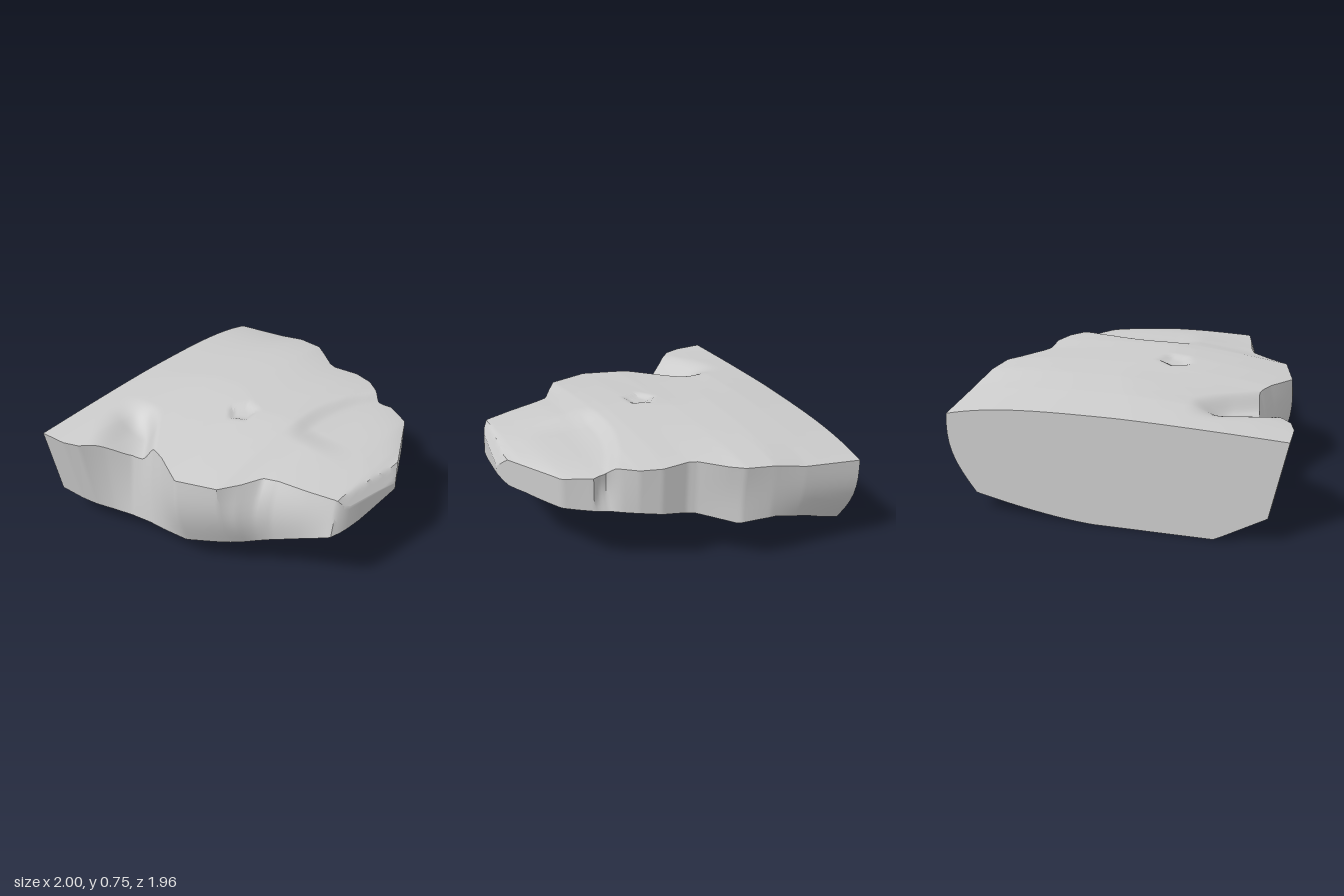
import * as THREE from 'three';
import { toCreasedNormals, mergeVertices } from 'three/addons/utils/BufferGeometryUtils.js';

// Side profiles from back to front: z, rim x, rim y, foot x, bulge
const LEFT = [
  [-0.98, -1.0, 0.64, -0.9, 0],
  [-0.8, -1.0, 0.64, -0.9, 0],
  [-0.7, -0.97, 0.64, -0.88, 0],
  [-0.58, -0.86, 0.64, -0.84, 0],
  [-0.45, -0.76, 0.65, -0.81, 0],
  [-0.3, -0.73, 0.66, -0.8, 0.01],
  [-0.18, -0.78, 0.66, -0.81, 0.02],
  [0.02, -0.89, 0.64, -0.81, 0.04],
  [0.28, -0.82, 0.65, -0.71, 0.04],
  [0.36, -0.7, 0.65, -0.67, 0.07],
  [0.43, -0.58, 0.66, -0.64, 0.07],
  [0.52, -0.55, 0.66, -0.61, 0.04],
  [0.7, -0.52, 0.65, -0.57, 0.02],
  [0.88, -0.48, 0.64, -0.54, 0],
  [0.92, -0.44, 0.62, -0.46, 0],
  [0.98, -0.02, 0.56, -0.02, 0],
];
const RIGHT = [
  [-0.98, 1.0, 0.61, 0.84, 0.06],
  [-0.6, 0.98, 0.65, 0.92, 0.02],
  [-0.4, 0.955, 0.69, 0.93, 0],
  [-0.22, 0.92, 0.7, 0.9, -0.01],
  [-0.14, 0.86, 0.7, 0.84, -0.01],
  [0, 0.74, 0.71, 0.73, 0],
  [0.05, 0.72, 0.71, 0.71, 0],
  [0.22, 0.73, 0.71, 0.72, 0],
  [0.35, 0.69, 0.71, 0.68, 0],
  [0.44, 0.62, 0.71, 0.63, 0],
  [0.5, 0.56, 0.7, 0.59, -0.02],
  [0.55, 0.56, 0.69, 0.58, -0.02],
  [0.59, 0.57, 0.68, 0.57, 0],
  [0.75, 0.48, 0.65, 0.47, 0],
  [0.94, 0.08, 0.63, 0.07, 0],
  [0.98, 0.0, 0.56, 0.0, 0],
];
// Middle of the slab: z, crown y, keel y, start x and rate of right rise, left rise
const MIDDLE = [
  [-0.98, 0.682, 0.0, 0.1, 0.19, 0.57], [-0.7, 0.718, 0.018, 0, 0.26, 0.48],
  [-0.45, 0.738, 0.055, -0.1, 0.255, 0.38], [-0.2, 0.745, 0.1, -0.2, 0.19, 0.22],
  [0, 0.745, 0.13, -0.3, 0.215, 0.12], [0.2, 0.745, 0.17, -0.4, 0.19, 0.1],
  [0.35, 0.735, 0.21, -0.45, 0.175, 0.05], [0.58, 0.702, 0.295, -0.5, 0.13, 0],
  [0.75, 0.672, 0.36, -0.5, 0.095, 0], [0.88, 0.65, 0.415, -0.5, 0.06, 0],
  [0.94, 0.63, 0.44, -0.4, 0.03, 0], [0.98, 0.56, 0.5, 0, 0, 0],
];

const { lerp, smoothstep, clamp } = THREE.MathUtils;

function sample(table, z) {
  let i = 0;
  while (i < table.length - 2 && z > table[i + 1][0]) i++;
  const a = table[i], b = table[i + 1];
  const t = clamp((z - a[0]) / (b[0] - a[0]), 0, 1);
  return a.map((v, k) => lerp(v, b[k], t));
}

// Chips and scoops worn into the upper surface
function carve(x, z, y) {
  // Scoop at the back left: steep on its front edge, rising gently to the back
  const e = -0.6 * (x + 0.4) - 0.8 * (z + 0.52);
  y -= 0.1 * smoothstep(e, 0, 0.1) * (1 - smoothstep(e, 0.1, 0.42))
    * (1 - smoothstep(x, -0.6, -0.38)) * (1 - smoothstep(-z, 0.6, 0.88));
  // Lowered step at the front right
  const edge = 0.27 + 0.6 * Math.max(0, x - 0.05) ** 2;
  y -= 0.04 * smoothstep(z, edge, edge + 0.1) * smoothstep(x, -0.22, 0)
    * (1 - smoothstep(z, 0.42, 0.8));
  // Small five-sided chip near the middle
  const dx = x + 0.155, dz = z + 0.06;
  let d = -1;
  for (let k = 0; k < 5; k++) {
    const a = (k + 0.5) * Math.PI * 0.4;
    d = Math.max(d, dx * Math.sin(a) - dz * Math.cos(a));
  }
  y -= 0.025 * (1 - smoothstep(d, 0.04, 0.1));
  // Slanted front bevel
  return Math.min(y, 0.64 - 1.6 * (z - 0.88 - 0.107 * (x + 0.48)));
}

const TOP = 80, WALL = 8, BASE = 40;

// One closed cross-section, counter-clockwise seen from the front
function section(z) {
  const [, lx, ly, lfx, lb] = sample(LEFT, z);
  const [, rx, ry, rfx, rb] = sample(RIGHT, z);
  const [, crown, keel, start, riseR, riseL] = sample(MIDDLE, z);
  const under = (x) => keel + riseR * Math.max(0, x - start) ** 1.5
    + riseL * Math.max(0, -x - 0.6);
  const ring = [];
  for (let i = 0; i <= TOP; i++) {
    const s = 1 - 2 * i / TOP;
    const x = lerp(lx, rx, (s + 1) / 2);
    const y = s > 0 ? lerp(crown, ry, s ** 3.5) : lerp(crown, ly, (-s) ** 1.35);
    ring.push([x, carve(x, z, y)]);
  }
  const rimR = ring[0][1], rimL = ring[TOP][1];
  for (let i = 1; i < WALL; i++) {
    const t = i / WALL;
    ring.push([lerp(lx, lfx, t) - lb * Math.sin(t * Math.PI), lerp(rimL, under(lfx), t)]);
  }
  for (let i = 0; i <= BASE; i++) {
    const x = lerp(lfx, rfx, i / BASE);
    ring.push([x, under(x)]);
  }
  for (let i = 1; i < WALL; i++) {
    const t = i / WALL;
    ring.push([lerp(rfx, rx, t) + rb * Math.sin(t * Math.PI), lerp(under(rfx), rimR, t)]);
  }
  return ring;
}

function slabGeometry() {
  const rows = 140, pos = [], index = [];
  let n = 0;
  for (let i = 0; i <= rows; i++) {
    const z = -0.98 + 1.96 * i / rows;
    const ring = section(z);
    n = ring.length;
    for (const [x, y] of ring) pos.push(x, y, z);
  }
  for (let i = 0; i < rows; i++) {
    for (let j = 0; j < n; j++) {
      const k = (j + 1) % n, a = i * n, b = a + n;
      index.push(a + j, a + k, b + k, a + j, b + k, b + j);
    }
  }
  // Flat back face and tiny front tip
  const back = pos.length / 3, front = back + 1, last = rows * n;
  pos.push(0, 0.35, -0.98, -0.01, 0.53, 0.98);
  for (let j = 0; j < n; j++) {
    const k = (j + 1) % n;
    index.push(back, k, j, front, last + j, last + k);
  }
  const geo = new THREE.BufferGeometry();
  geo.setAttribute('position', new THREE.Float32BufferAttribute(pos, 3));
  geo.setIndex(index);
  return toCreasedNormals(mergeVertices(geo, 1e-5), 0.6);
}

export function createModel() {
  const group = new THREE.Group();
  group.name = 'rockLedge';
  const slab = new THREE.Mesh(slabGeometry(), new THREE.MeshStandardMaterial({ color: 0xcccccc }));
  slab.name = 'rockSlab';
  group.add(slab);
  return group;
}
